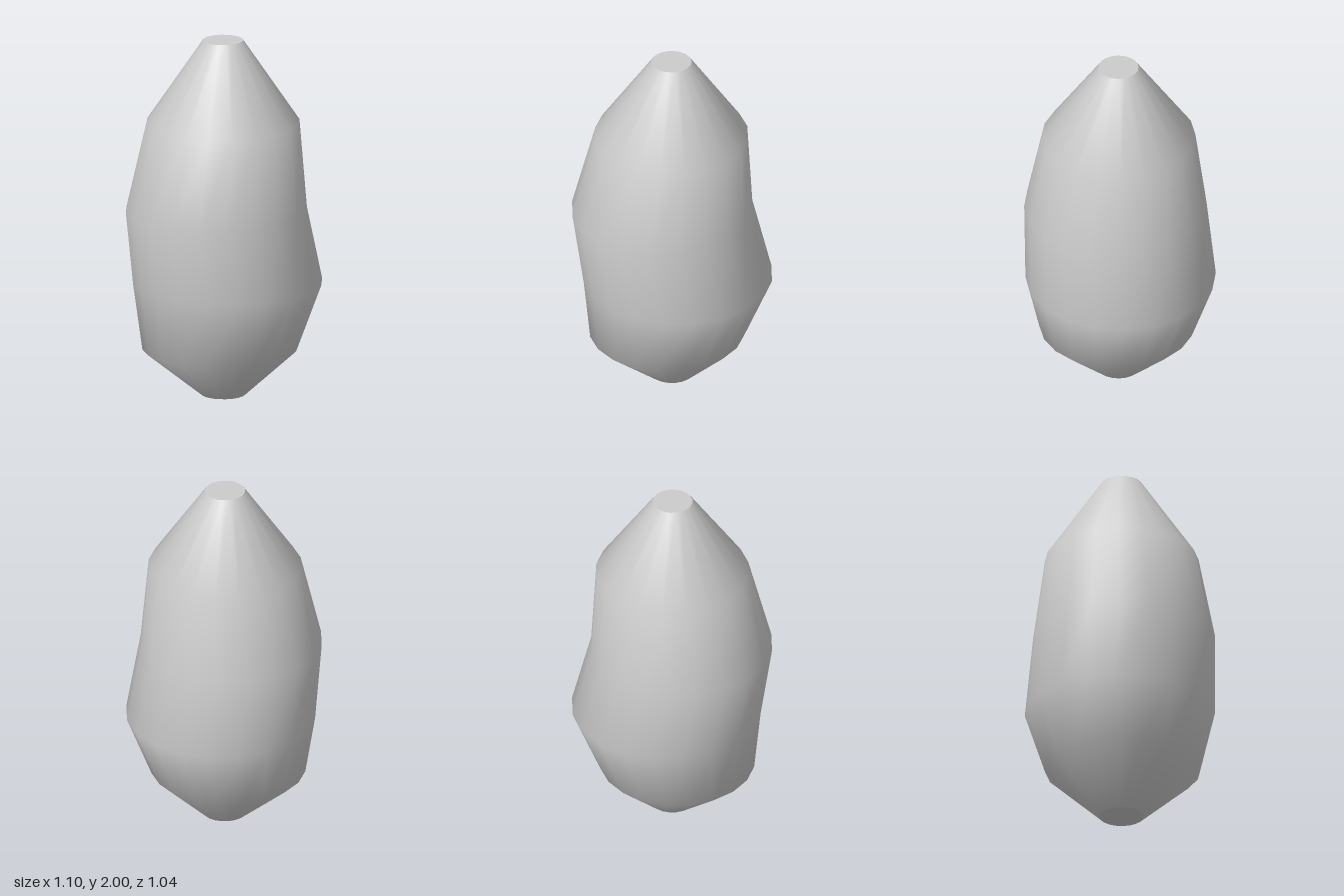
import * as THREE from 'three';
import { mergeVertices } from 'three/addons/utils/BufferGeometryUtils.js';

const SIDES = 20;
// Rings from bottom to top: height, sideways shift, radius
const RINGS = [
  [0, -0.003, 0.122],
  [0.265, -0.03, 0.425],
  [0.63, 0.029, 0.52],
  [1.05, -0.055, 0.498],
  [1.54, -0.005, 0.42],
  [2, -0.005, 0.11],
];

export function createModel() {
  const group = new THREE.Group();
  group.name = 'lumpyPod';
  const material = new THREE.MeshStandardMaterial({ color: 0xcccccc });

  // Body: an open cylinder whose rings are resized and shifted
  const last = RINGS.length - 1;
  let body = new THREE.CylinderGeometry(1, 1, last, SIDES, last, true);
  const pos = body.attributes.position;
  for (let i = 0; i < pos.count; i++) {
    const [y, shift, r] = RINGS[Math.round(pos.getY(i) + last / 2)];
    pos.setXYZ(i, shift + pos.getX(i) * r, y, pos.getZ(i) * r);
  }
  // Weld the seam so the sides shade smoothly all round
  body.deleteAttribute('uv');
  body.deleteAttribute('normal');
  body = mergeVertices(body);
  body.computeVertexNormals();
  const bodyMesh = new THREE.Mesh(body, material);
  bodyMesh.name = 'body';
  group.add(bodyMesh);

  // Flat end caps
  const addCap = (name, [y, shift, r], tilt) => {
    const cap = new THREE.Mesh(new THREE.CircleGeometry(r, SIDES), material);
    cap.name = name;
    cap.rotation.x = tilt;
    cap.position.set(shift, y, 0);
    group.add(cap);
  };
  addCap('bottomCap', RINGS[0], Math.PI / 2);
  addCap('topCap', RINGS[last], -Math.PI / 2);

  return group;
}
